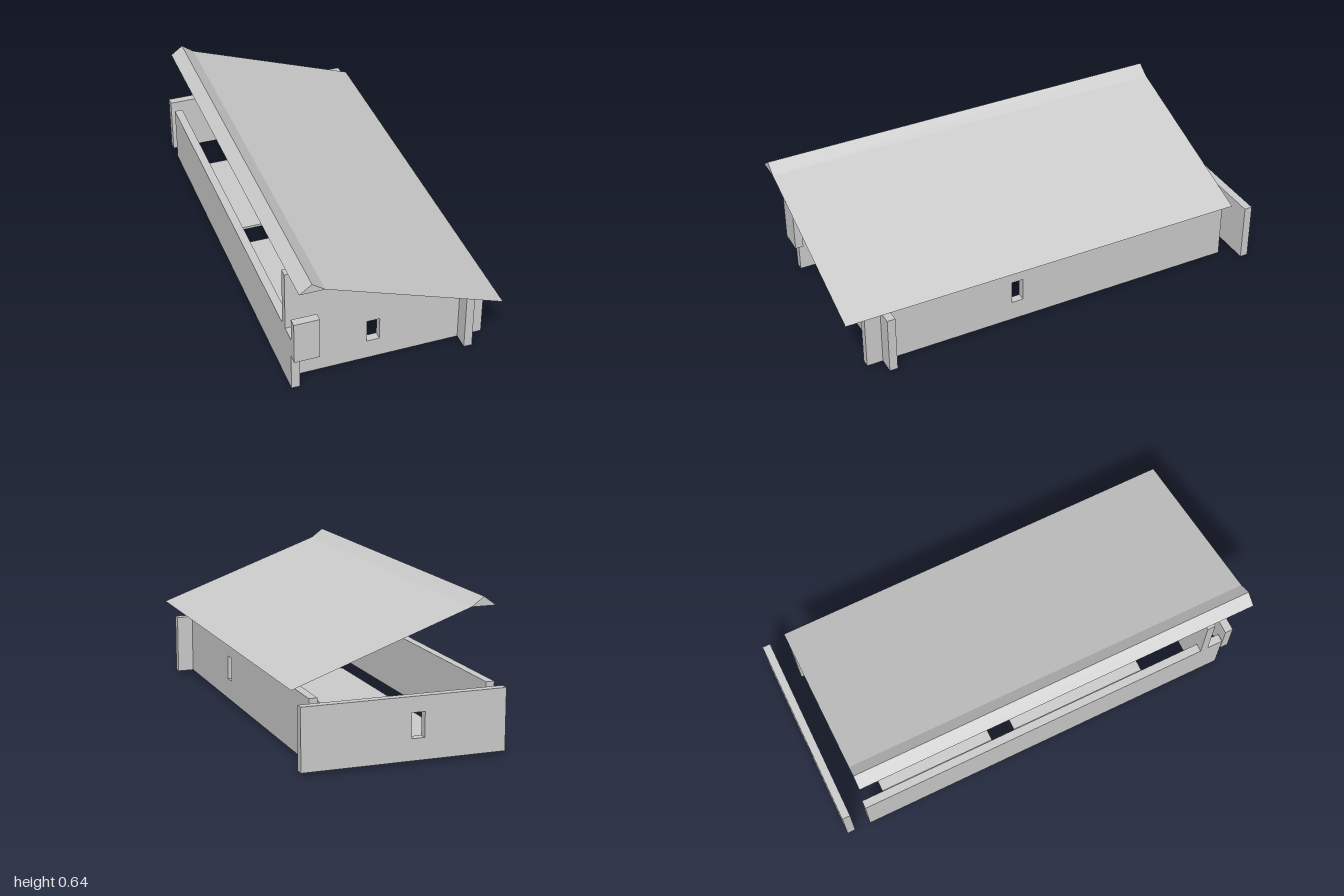
import * as THREE from 'three';

const solid = new THREE.MeshStandardMaterial({ color: 0xcccccc, flatShading: true });
const sheet = new THREE.MeshStandardMaterial({ color: 0xcccccc, flatShading: true, side: THREE.DoubleSide });

const BASE = 0.012;   // underside of the walls
const EAVE = 0.28;    // top of the low walls
const HALF = 0.444;   // half width of the house
const STEP = HALF / 4;
const THICK = 0.037;

export function createModel() {
  const model = new THREE.Group();

  const add = (name, geometry, material = solid) => {
    const mesh = new THREE.Mesh(geometry, material);
    mesh.name = name;
    model.add(mesh);
    return mesh;
  };

  const box = (name, x0, x1, y0, y1, z0, z1) =>
    add(name, new THREE.BoxGeometry(x1 - x0, y1 - y0, z1 - z0))
      .position.set((x0 + x1) / 2, (y0 + y1) / 2, (z0 + z1) / 2);

  // Upright wall from an outline, with an optional window from u0 to u1
  const wall = (name, outline, win) => {
    const shape = new THREE.Shape(outline.map(([u, y]) => new THREE.Vector2(u, y)));
    if (win) {
      const [u0, u1] = win;
      shape.holes.push(new THREE.Path([[u0, 0.105], [u0, 0.213], [u1, 0.213], [u1, 0.105]]
        .map(([u, y]) => new THREE.Vector2(u, y))));
    }
    return add(name, new THREE.ExtrudeGeometry(shape, { depth: THICK, bevelEnabled: false }));
  };
  const rectangle = (half) => [[-half, BASE], [half, BASE], [half, EAVE], [-half, EAVE]];

  // Front wall with its top stepping down towards the left
  const stepped = [[-HALF, BASE], [HALF, BASE]];
  for (let i = 7; i >= 0; i--) {
    const top = 0.56 - i * 0.04;
    stepped.push([-HALF + (i + 1) * STEP, top], [-HALF + i * STEP, top]);
  }
  wall('frontWall', stepped, [-0.085, -0.028]).position.z = 0.779;

  // Back wall stands clear of the side walls
  wall('backWall', rectangle(HALF), [-0.085, -0.028]).position.z = -1;

  // Side walls; the extruded outline is turned so its u axis runs along -z
  const leftSide = wall('leftWall', rectangle(0.889), [-0.195, -0.14]);
  leftSide.rotation.y = Math.PI / 2;
  leftSide.position.x = 0.333;
  const rightSide = wall('rightWall', rectangle(0.889));
  rightSide.rotation.y = Math.PI / 2;
  rightSide.position.x = -HALF;

  // Block in front of the tall corner
  box('frontBlock', -HALF, -HALF + STEP, 0.187, 0.387, 0.892, 0.929);

  // Floor panels
  box('frontFloor', -0.333, 0, 0, BASE, -0.108, 0.556);
  box('backFloor', -0.333, 0.222, 0, BASE, -0.777, -0.222);

  // Thin roof surface running along z between two edge points
  const Z0 = -0.889, Z1 = 1;
  const slope = (name, [xa, ya], [xb, yb]) => {
    const g = new THREE.BufferGeometry();
    g.setAttribute('position', new THREE.Float32BufferAttribute(
      [xa, ya, Z0, xa, ya, Z1, xb, yb, Z1, xb, yb, Z0], 3));
    g.setIndex([0, 1, 2, 0, 2, 3]);
    g.computeVertexNormals();
    add(name, g, sheet);
  };
  const low = [-HALF, 0.6], apex = [-0.39, 0.64], bend = [-0.335, 0.6], eave = [HALF, 0.32];
  slope('ridgeRightSlope', low, apex);
  slope('ridgeLeftSlope', apex, bend);
  slope('mainRoof', bend, eave);

  // Triangular ribs closing each ridge segment
  const rib = new THREE.ShapeGeometry(new THREE.Shape(
    [low, bend, apex].map(([x, y]) => new THREE.Vector2(x, y))));
  for (let i = 0; i <= 17; i++) add('ridgeRib', rib, sheet).position.z = Z0 + (Z1 - Z0) * i / 17;

  return model;
}
